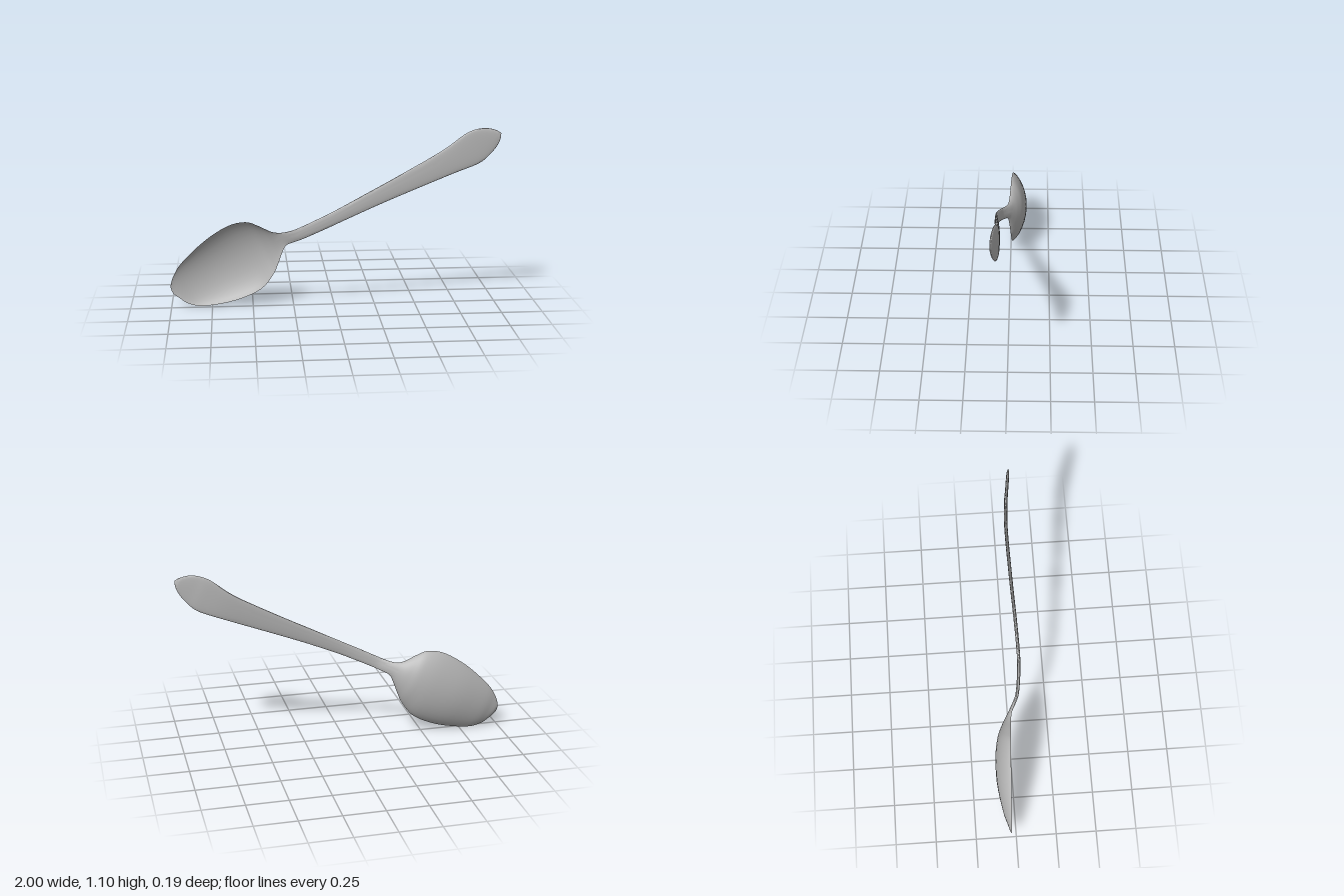
import * as THREE from 'three';
import { toCreasedNormals } from 'three/addons/utils/BufferGeometryUtils.js';

// Stations along the spoon: distance from bowl tip, upper edge, lower edge
const outline = [
  [-0.012, 0.003, 0.003], [-0.006, 0.03, -0.024], [0.012, 0.056, -0.06], [0.045, 0.088, -0.115],
  [0.125, 0.137, -0.172], [0.31, 0.197, -0.226], [0.48, 0.218, -0.232], [0.59, 0.192, -0.182],
  [0.65, 0.135, -0.132], [0.70, 0.072, -0.083], [0.745, 0.042, -0.047], [0.80, 0.03, -0.045],
  [0.86, 0.026, -0.047], [1.0, 0.026, -0.05], [1.12, 0.027, -0.053], [1.32, 0.033, -0.062],
  [1.55, 0.04, -0.078], [1.85, 0.056, -0.102], [2.01, 0.086, -0.114], [2.09, 0.084, -0.095],
  [2.15, 0.062, -0.066], [2.19, 0.03, -0.034], [2.211, 0, 0],
];
// Same stations: edge z, depth of the front face, depth of the back face
const section = [
  [-0.027, 0, 0], [-0.027, 0.002, 0.006], [-0.027, 0.007, 0.014], [-0.026, 0.016, 0.025],
  [-0.024, 0.04, 0.05], [-0.017, 0.073, 0.084], [-0.01, 0.076, 0.088], [-0.003, 0.063, 0.076],
  [0.002, 0.042, 0.056], [0.008, 0.018, 0.035], [0.017, 0.001, 0.019], [0.04, -0.008, 0.012],
  [0.06, -0.01, 0.01], [0.077, -0.01, 0.01], [0.08, -0.01, 0.01], [0.073, -0.01, 0.01],
  [0.062, -0.01, 0.01], [0.052, -0.01, 0.01], [0.06, -0.01, 0.01], [0.07, -0.009, 0.009],
  [0.078, -0.009, 0.009], [0.083, -0.007, 0.007], [0.086, 0, 0],
];
const NECK = 11; // station where the bowl meets the handle
const HALF = 14; // segments across each face

const curve = (rows) =>
  new THREE.CatmullRomCurve3(rows.map((r) => new THREE.Vector3(...r)), false, 'catmullrom', 0.5);
const outlineCurve = curve(outline);
const sectionCurve = curve(section);

// Skin closed cross-sections between two stations
function sweep(from, to, perStation) {
  const rings = (to - from) * perStation;
  const around = HALF * 2;
  const positions = [];
  const index = [];
  for (let i = 0; i <= rings; i++) {
    const t = (from + i / perStation) / (outline.length - 1);
    const o = outlineCurve.getPoint(t);
    const c = sectionCurve.getPoint(t);
    const mid = (o.y + o.z) / 2;
    const half = Math.max(0, (o.y - o.z) / 2);
    // dished across the bowl, flatter with rounded edges on the handle
    const power = THREE.MathUtils.lerp(1.5, 0.7, THREE.MathUtils.smoothstep(o.x, 0.55, 0.85));
    for (let j = 0; j < around; j++) {
      const front = j <= HALF;
      const k = front ? j : around - j;
      const angle = (k / HALF - 0.5) * Math.PI;
      const bulge = Math.pow(Math.max(0, Math.cos(angle)), power);
      positions.push(o.x, mid + half * Math.sin(angle), c.x - (front ? c.y : c.z) * bulge);
    }
  }
  for (let i = 0; i < rings; i++) {
    for (let j = 0; j < around; j++) {
      const a = i * around + j;
      const d = i * around + ((j + 1) % around);
      const b = a + around;
      const e = d + around;
      index.push(a, b, e, a, e, d);
    }
  }
  const geometry = new THREE.BufferGeometry();
  geometry.setAttribute('position', new THREE.Float32BufferAttribute(positions, 3));
  geometry.setIndex(index);
  return toCreasedNormals(geometry, 0.7);
}

export function createModel() {
  const steel = new THREE.MeshStandardMaterial({ color: 0xb4b4b4 });
  steel.name = 'steel';

  const bowl = new THREE.Mesh(sweep(0, NECK, 4), steel);
  bowl.name = 'bowl';
  const handle = new THREE.Mesh(sweep(NECK, outline.length - 1, 4), steel);
  handle.name = 'handle';

  // The spoon leans up toward the handle end
  const spoon = new THREE.Group();
  spoon.name = 'spoon';
  spoon.add(bowl, handle);
  spoon.rotation.z = THREE.MathUtils.degToRad(26.2);
  spoon.position.set(-0.985, 0.105, 0);

  const model = new THREE.Group();
  model.add(spoon);
  return model;
}
